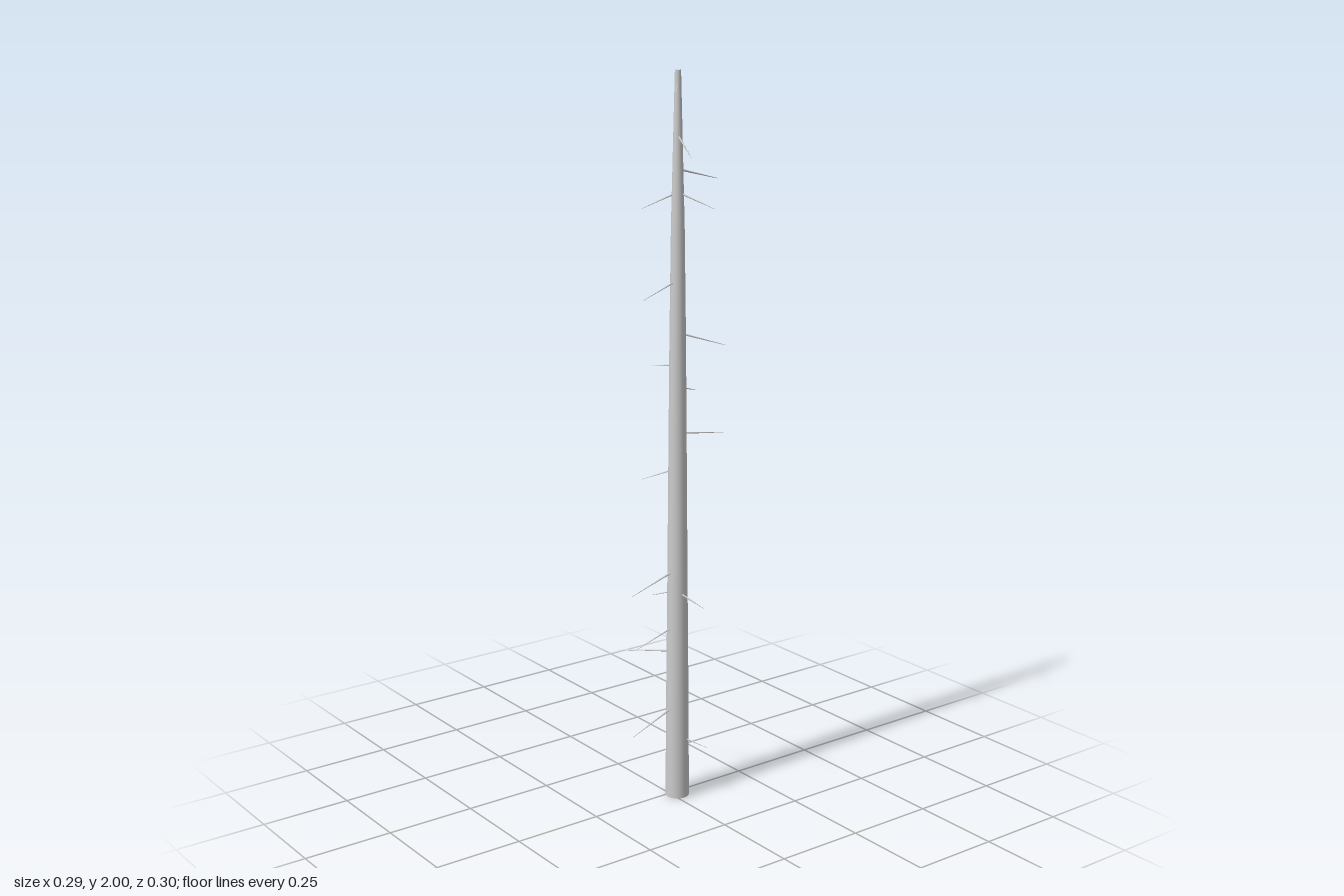
import * as THREE from 'three';

const material = new THREE.MeshStandardMaterial({ color: 0xcccccc });
const AXIS_X = 0.015, AXIS_Z = -0.016;

// Trunk half-width at increasing heights
const PROFILE = [
  [0.033, 0], [0.031, 0.3], [0.028, 0.6], [0.025, 0.95], [0.022, 1.3],
  [0.018, 1.6], [0.013, 1.8], [0.008, 2],
].map(([r, y]) => new THREE.Vector2(r, y));

// Twigs: height on the trunk, then tip x, y, z
const TWIGS = [
  [0.145, -0.060, 0.12, -0.080],
  [0.175, 0.103, 0.16, -0.053],
  [0.265, 0.026, 0.215, 0.143],
  [0.33, -0.016, 0.29, -0.058],
  [0.425, -0.147, 0.40, 0.068],
  [0.50, 0.014, 0.46, 0.123],
  [0.50, -0.063, 0.47, -0.085],
  [0.598, 0.145, 0.59, -0.005],
  [0.60, -0.060, 0.575, 0.015],
  [0.66, 0.027, 0.62, 0.147],
  [0.78, -0.018, 0.75, -0.030],
  [0.945, -0.050, 0.915, 0.053],
  [1.045, 0.048, 1.035, -0.147],
  [1.17, -0.022, 1.145, -0.105],
  [1.23, -0.100, 1.21, -0.010],
  [1.315, 0.068, 1.28, -0.135],
  [1.455, 0.030, 1.42, 0.105],
  [1.465, -0.055, 1.43, -0.070],
  [1.685, 0.100, 1.65, -0.070],
  [1.685, -0.018, 1.65, 0.075],
  [1.745, 0.008, 1.715, -0.152],
  [1.83, 0.134, 1.79, 0.032],
  [1.89, -0.050, 1.87, -0.070],
  [1.96, 0.055, 1.945, 0.020],
];

// Tapered rod between two points
function rod(start, end, r0, r1) {
  const dir = end.clone().sub(start);
  const geometry = new THREE.CylinderGeometry(r1, r0, dir.length(), 6);
  const mesh = new THREE.Mesh(geometry, material);
  mesh.position.copy(start).add(end).multiplyScalar(0.5);
  mesh.quaternion.setFromUnitVectors(new THREE.Vector3(0, 1, 0), dir.normalize());
  return mesh;
}

export function createModel() {
  const model = new THREE.Group();

  // Tapering trunk with closed ends
  const trunk = new THREE.Group();
  trunk.name = 'trunk';
  trunk.position.set(AXIS_X, 0, AXIS_Z);
  trunk.add(new THREE.Mesh(new THREE.LatheGeometry(PROFILE, 20), material));
  for (const [p, turn] of [[PROFILE[0], 1], [PROFILE[PROFILE.length - 1], -1]]) {
    const cap = new THREE.Mesh(new THREE.CircleGeometry(p.x, 20), material);
    cap.rotation.x = turn * Math.PI / 2;
    cap.position.y = p.y;
    trunk.add(cap);
  }
  model.add(trunk);

  // Bare, slightly drooping twigs
  const twigs = new THREE.Group();
  twigs.name = 'twigs';
  for (const [y, tx, ty, tz] of TWIGS) {
    const tip = new THREE.Vector3(tx, ty, tz);
    const root = new THREE.Vector3(AXIS_X, y, AXIS_Z);
    // Start just under the bark
    root.x += (tx - AXIS_X) * 0.1;
    root.z += (tz - AXIS_Z) * 0.1;
    const length = root.distanceTo(tip);
    const twig = rod(root, tip, 0.0015 + length * 0.011, 0.0006);
    twig.name = 'twig';
    twigs.add(twig);
  }
  model.add(twigs);

  return model;
}
